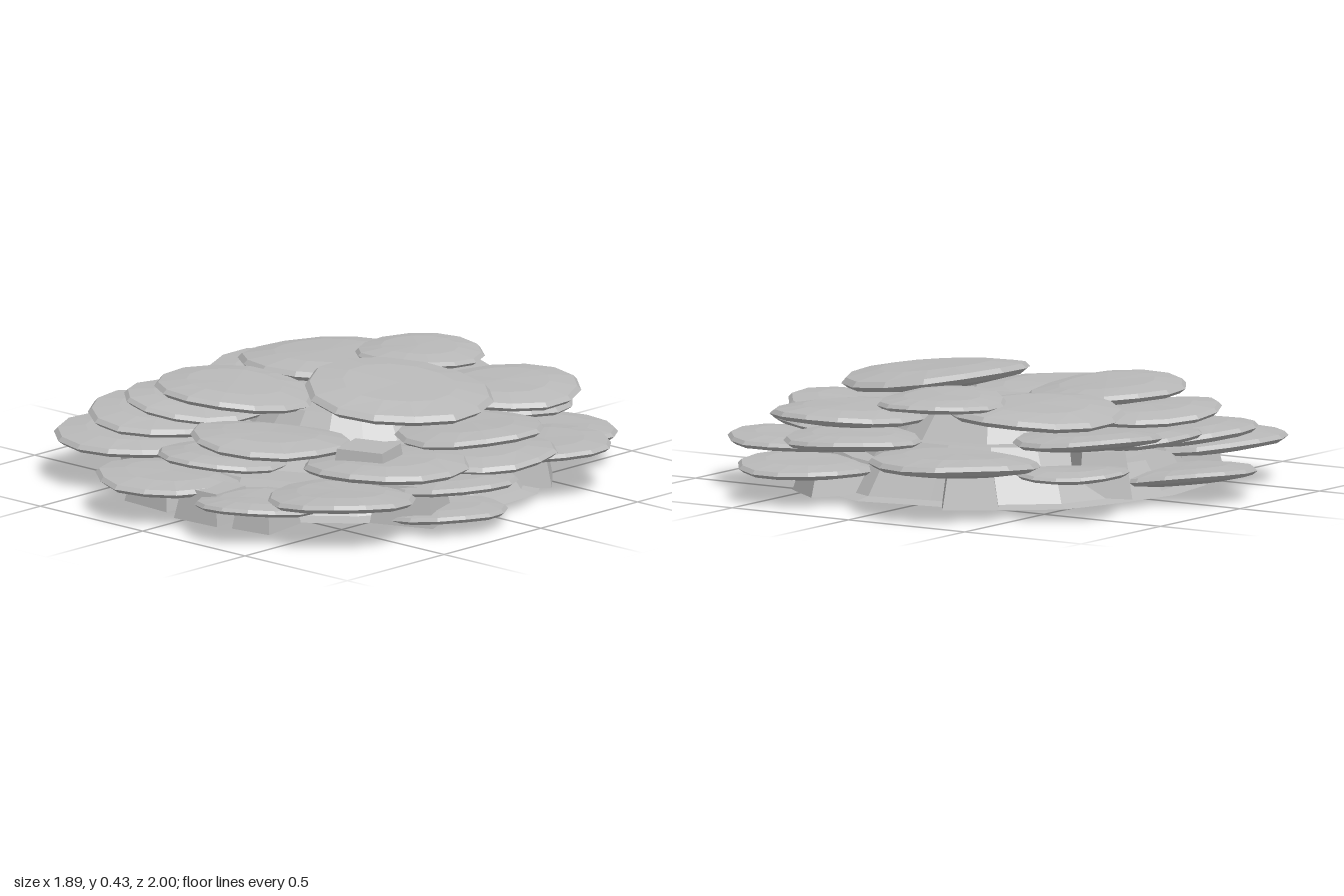
import * as THREE from 'three';

const stone = new THREE.MeshStandardMaterial({ color: 0xb9b9b9, flatShading: true });
stone.name = 'grey stone';

// seeded jitter in -1..1
let seed = 7;
const jitter = () => {
  seed = (seed * 16807) % 2147483647;
  return (seed / 2147483647) * 2 - 1;
};

// Closed faceted form from rings [radius, height]; first and last radius are 0
function ringForm(rings, sides, place) {
  const pos = [], idx = [];
  rings.forEach(([r, h]) => {
    for (let k = 0; k < sides; k++) pos.push(...place(r, h, (k / sides) * Math.PI * 2, k));
  });
  for (let i = 0; i < rings.length - 1; i++) {
    for (let k = 0; k < sides; k++) {
      const a = i * sides + k, b = i * sides + (k + 1) % sides;
      const c = a + sides, d = b + sides;
      if (rings[i][0] > 0) idx.push(a, c, b);
      if (rings[i + 1][0] > 0) idx.push(b, c, d);
    }
  }
  const g = new THREE.BufferGeometry();
  g.setAttribute('position', new THREE.Float32BufferAttribute(pos, 3));
  g.setIndex(idx);
  const flat = g.toNonIndexed();
  flat.computeVertexNormals();
  return flat;
}

const slabProfile = [[0, -0.03], [0.55, -0.026], [0.93, -0.01], [1, 0.004], [0.95, 0.018], [0.6, 0.032], [0, 0.034]];

// Thin irregular slab, thicker when larger, tilted by slopes sx and sz
function slab(radius, sx, sz) {
  const sides = 14;
  const edge = Array.from({ length: sides }, () => 0.995 + jitter() * 0.025);
  const turn = jitter(), wave = jitter() * 3;
  const thick = radius / 0.26;
  return ringForm(slabProfile, sides, (r, h, a, k) => {
    const t = a + turn;
    const x = Math.cos(t) * r * radius * edge[k];
    const z = Math.sin(t) * r * radius * edge[k];
    const bump = Math.sin(2 * t + wave) * r * r * 0.008;
    return [x, h * thick + bump + sx * x + sz * z, z];
  });
}

// x, y, z, radius, optional slopes; other slabs rise outward
const slabs = [
  [0.31, 0.365, 0, 0.342, -0.1, 0],
  [-0.05, 0.36, -0.48, 0.232, 0, 0.03],
  [-0.32, 0.318, -0.29, 0.315, 0.03, 0.02],
  [0.33, 0.29, -0.51, 0.285, 0, -0.01],
  [-0.25, 0.325, 0.26, 0.288, -0.06, 0.06],
  [0.14, 0.255, 0.49, 0.292, 0, 0.08],
  [0.53, 0.2, 0.3, 0.3],
  [0.54, 0.25, -0.12, 0.27],
  [0.63, 0.185, -0.08, 0.275],
  [0.69, 0.145, 0.15, 0.25],
  [0.69, 0.042, 0.18, 0.235],
  [0.63, 0.155, -0.41, 0.245],
  [0.4, 0.112, -0.67, 0.25, 0.03, 0],
  [0.25, 0.215, -0.6, 0.25, 0, 0],
  [-0.25, 0.18, -0.69, 0.308, 0, -0.04],
  [-0.62, 0.15, -0.5, 0.212],
  [-0.52, 0.235, -0.26, 0.265],
  [-0.54, 0.21, 0.01, 0.245],
  [-0.69, 0.08, 0.11, 0.255, -0.1, 0],
  [-0.42, 0.258, 0.27, 0.267],
  [-0.53, 0.195, 0.32, 0.283],
  [-0.54, 0.145, 0.48, 0.28],
  [-0.12, 0.115, 0.73, 0.268],
  [-0.03, 0.18, 0.55, 0.24],
  [0.57, 0.14, 0.58, 0.27],
  [0.33, 0.11, 0.75, 0.225],
];

export function createModel() {
  const model = new THREE.Group();
  model.name = 'stonePile';
  const add = (geometry, name, x = 0, y = 0, z = 0) => {
    const mesh = new THREE.Mesh(geometry, stone);
    mesh.name = name;
    mesh.position.set(x, y, z);
    model.add(mesh);
    return mesh;
  };

  // overlapping slabs
  slabs.forEach(([x, y, z, radius, sx, sz], i) => {
    const lift = 0.06 / Math.hypot(x, z);
    add(slab(radius, sx ?? x * lift, sz ?? z * lift), `slab${i + 1}`, x, y, z);
  });

  // stepped core with a broad, slightly bowed base
  const tiers = [
    [[0, 0], [0.5, 0.008], [0.75, 0.025], [0.69, 0.036], [0.62, 0.14], [0, 0.14]],
    [[0, 0.1], [0.54, 0.1], [0.46, 0.21], [0, 0.21]],
    [[0, 0.18], [0.38, 0.18], [0.29, 0.3], [0, 0.3]],
  ];
  tiers.forEach((rings, i) => {
    const edge = Array.from({ length: 18 }, () => 1 + jitter() * 0.045);
    const core = ringForm(rings, 18, (r, h, a, k) =>
      [Math.cos(a) * r * edge[k], h, Math.sin(a) * r * edge[k]]);
    add(core, `coreTier${i + 1}`, 0, 0, -0.04 * i);
  });

  // tapered blocks showing between slabs
  function block(name, x, z, top, width, low = 0.027) {
    const g = new THREE.BoxGeometry(width, top - low, 0.2);
    const p = g.attributes.position;
    for (let k = 0; k < p.count; k++) {
      if (p.getY(k) > 0) p.setXYZ(k, p.getX(k) * 0.8, p.getY(k), p.getZ(k) * 0.8);
    }
    g.computeVertexNormals();
    add(g, name, x, (low + top) / 2, z).rotation.y = Math.atan2(x, z) * 0.35;
  }
  block('upperBlock', 0.5, 0.36, 0.28, 0.22, 0.12);
  const baseBlocks = [
    [0.34, 0.72, 0.14, 0.16], [0.12, 0.76, 0.14, 0.2], [-0.15, 0.72, 0.13, 0.22],
    [0.65, 0.3, 0.17, 0.24], [-0.48, 0.4, 0.15, 0.24], [-0.52, -0.2, 0.2, 0.22],
    [-0.25, -0.6, 0.16, 0.3], [0.3, -0.62, 0.13, 0.28], [0.56, -0.35, 0.15, 0.24],
  ];
  baseBlocks.forEach((b, i) => block(`baseBlock${i + 1}`, ...b));

  return model;
}
